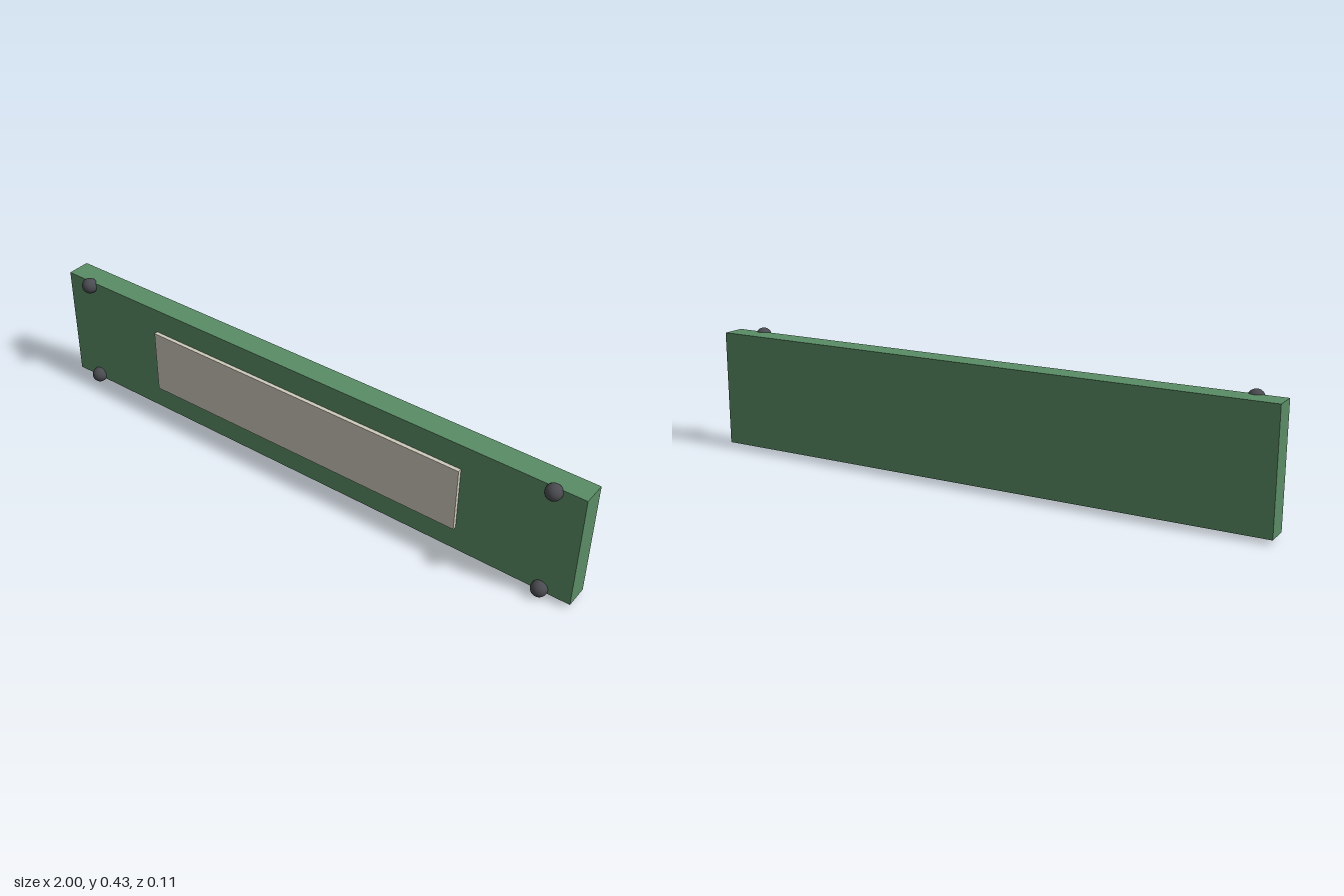
import * as THREE from 'three';

const CENTER_Y = 0.2133;

function addPart(group, name, geometry, color, x, y, z) {
  const mesh = new THREE.Mesh(geometry, new THREE.MeshStandardMaterial({ color }));
  mesh.name = name;
  mesh.position.set(x, y, z);
  group.add(mesh);
}

export function createModel() {
  const group = new THREE.Group();
  group.name = 'signBoard';

  // Main board
  addPart(group, 'board', new THREE.BoxGeometry(2, 0.4, 0.08), 0x5a8c65, 0, CENTER_Y, -0.0167);

  // Raised face panel, slightly sunk into the board
  addPart(group, 'facePanel', new THREE.BoxGeometry(1.2, 0.2267, 0.0233), 0xcfcabd, 0, CENTER_Y, 0.025);

  // Round bolt heads near the corners
  const bolt = new THREE.SphereGeometry(0.0267, 32, 20);
  for (const [side, sx] of [['Left', 1], ['Right', -1]]) {
    for (const [level, sy] of [['upper', 1], ['lower', -1]]) {
      addPart(group, `${level}${side}Bolt`, bolt, 0x4a4b50, sx * 0.9, CENTER_Y + sy * 0.1866, 0.03);
    }
  }
  return group;
}
